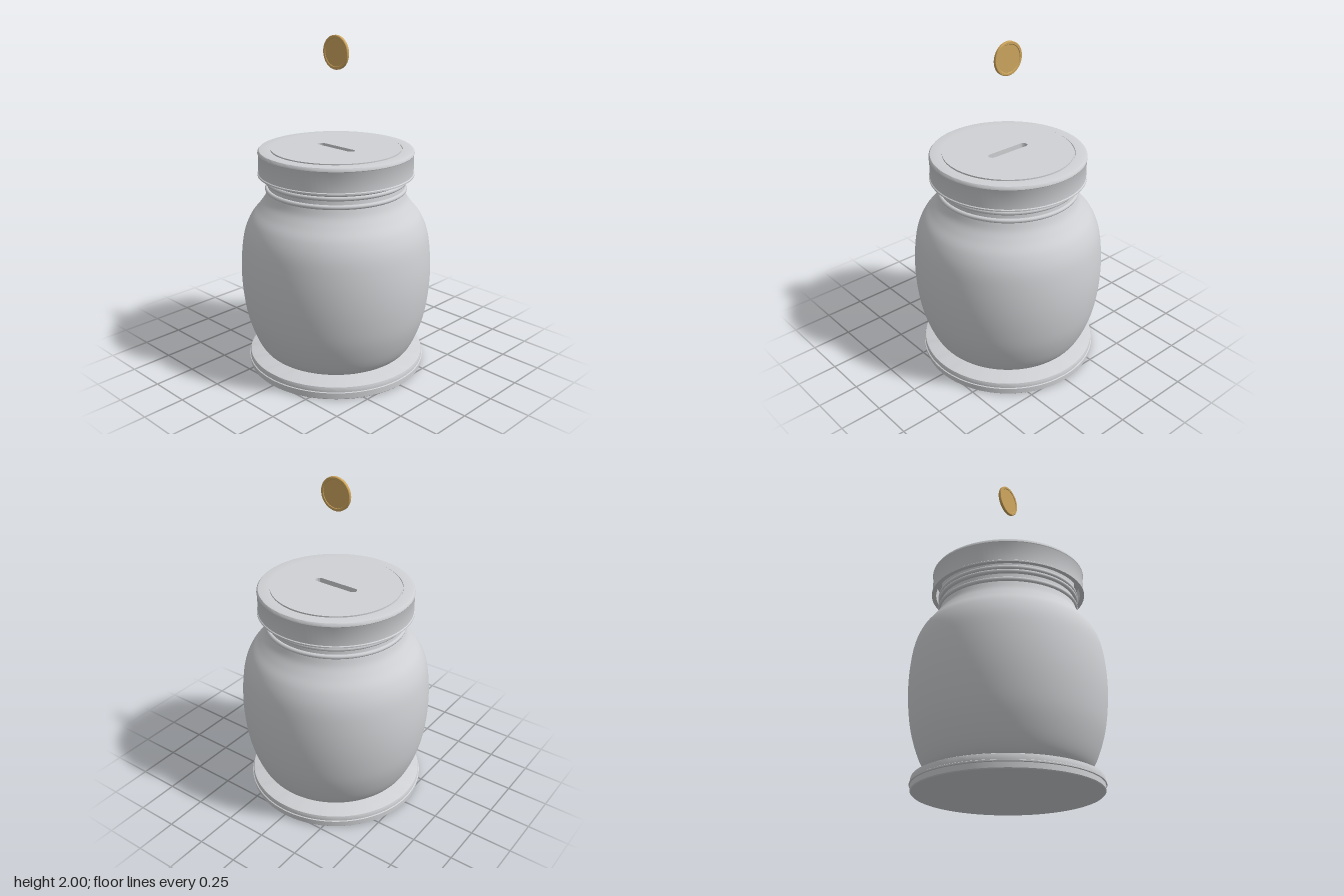
import * as THREE from 'three';
import { toCreasedNormals } from 'three/addons/utils/BufferGeometryUtils.js';

const SEGMENTS = 96;

const material = (name, color) => {
  const m = new THREE.MeshStandardMaterial({ color });
  m.name = name;
  return m;
};

const vectors = (points) => points.map(([x, y]) => new THREE.Vector2(x, y));

// Revolved part; profile runs from the bottom centre, up the outside, to the top centre
const turned = (points) => toCreasedNormals(new THREE.LatheGeometry(vectors(points), SEGMENTS), 0.6);

// Rounded slot outline
function slotPath(halfLength, radius) {
  const path = new THREE.Path();
  const c = halfLength - radius;
  path.absarc(c, 0, radius, -Math.PI / 2, Math.PI / 2, false);
  path.absarc(-c, 0, radius, Math.PI / 2, Math.PI * 1.5, false);
  path.closePath();
  return path;
}

export function createModel() {
  const group = new THREE.Group();
  const grey = material('light grey', 0xcfd1d4);
  const gold = material('gold', 0xcfa75f);
  const dark = material('slot black', 0x202226);

  const add = (name, geometry, mat) => {
    const mesh = new THREE.Mesh(geometry, mat);
    mesh.name = name;
    group.add(mesh);
    return mesh;
  };

  // Round base with a bead around its edge
  add('base', turned([
    [0, 0], [0.53, 0], [0.535, 0.005], [0.535, 0.034], [0.541, 0.037], [0.541, 0.044],
    [0.535, 0.047], [0.535, 0.07], [0.532, 0.077], [0.525, 0.08], [0, 0.08],
  ]), grey);

  // Jar body with a smooth belly and shoulder
  const belly = new THREE.SplineCurve(vectors([
    [0.37, 0.087], [0.43, 0.1], [0.47, 0.14], [0.51, 0.225], [0.545, 0.34], [0.565, 0.47],
    [0.572, 0.6], [0.566, 0.73], [0.547, 0.85], [0.51, 0.94], [0.46, 1.005], [0.425, 1.055],
    [0.408, 1.1],
  ])).getPoints(60).map((p) => [p.x, p.y]);
  add('jarBody', turned([[0, 0.075], [0.36, 0.08], ...belly, [0.402, 1.12], [0.402, 1.28], [0, 1.28]]), grey);

  // Screw threads on the neck
  for (const y of [1.115, 1.165, 1.19]) {
    const thread = add('neckThread', new THREE.TorusGeometry(0.407, 0.013, 10, SEGMENTS), grey);
    thread.rotation.x = Math.PI / 2;
    thread.position.y = y;
  }

  // Hollow lid with a lower lip, rounded shoulder and a fine groove on top
  add('lid', turned([
    [0, 1.288], [0.435, 1.288], [0.435, 1.2], [0.461, 1.2], [0.461, 1.208], [0.456, 1.212],
    [0.456, 1.325], [0.459, 1.33], [0.457, 1.341], [0.451, 1.348], [0.443, 1.35],
    [0.389, 1.35], [0.387, 1.345], [0.37, 1.345], [0.37, 1.3], [0, 1.3],
  ]), grey);

  // Raised top panel cut by the coin slot
  const panel = new THREE.Shape().absarc(0, 0, 0.382, 0, Math.PI * 2, false);
  panel.holes.push(slotPath(0.143, 0.024));
  const panelGeometry = new THREE.ExtrudeGeometry(panel, { depth: 0.054, bevelEnabled: false, curveSegments: 48 });
  panelGeometry.rotateX(-Math.PI / 2);
  add('lidPanel', toCreasedNormals(panelGeometry, 0.6), grey).position.y = 1.3;

  // Dark opening at the bottom of the slot
  add('slotOpening', new THREE.BoxGeometry(0.27, 0.006, 0.04), dark).position.y = 1.304;

  // Coin standing upright above the slot, with a raised rim on both faces
  const coin = add('coin', turned([
    [0, -0.006], [0.079, -0.006], [0.082, -0.009], [0.094, -0.009], [0.097, -0.006],
    [0.097, 0.006], [0.094, 0.009], [0.082, 0.009], [0.079, 0.006], [0, 0.006],
  ]), gold);
  coin.rotation.x = Math.PI / 2;
  coin.position.y = 1.903;

  return group;
}
